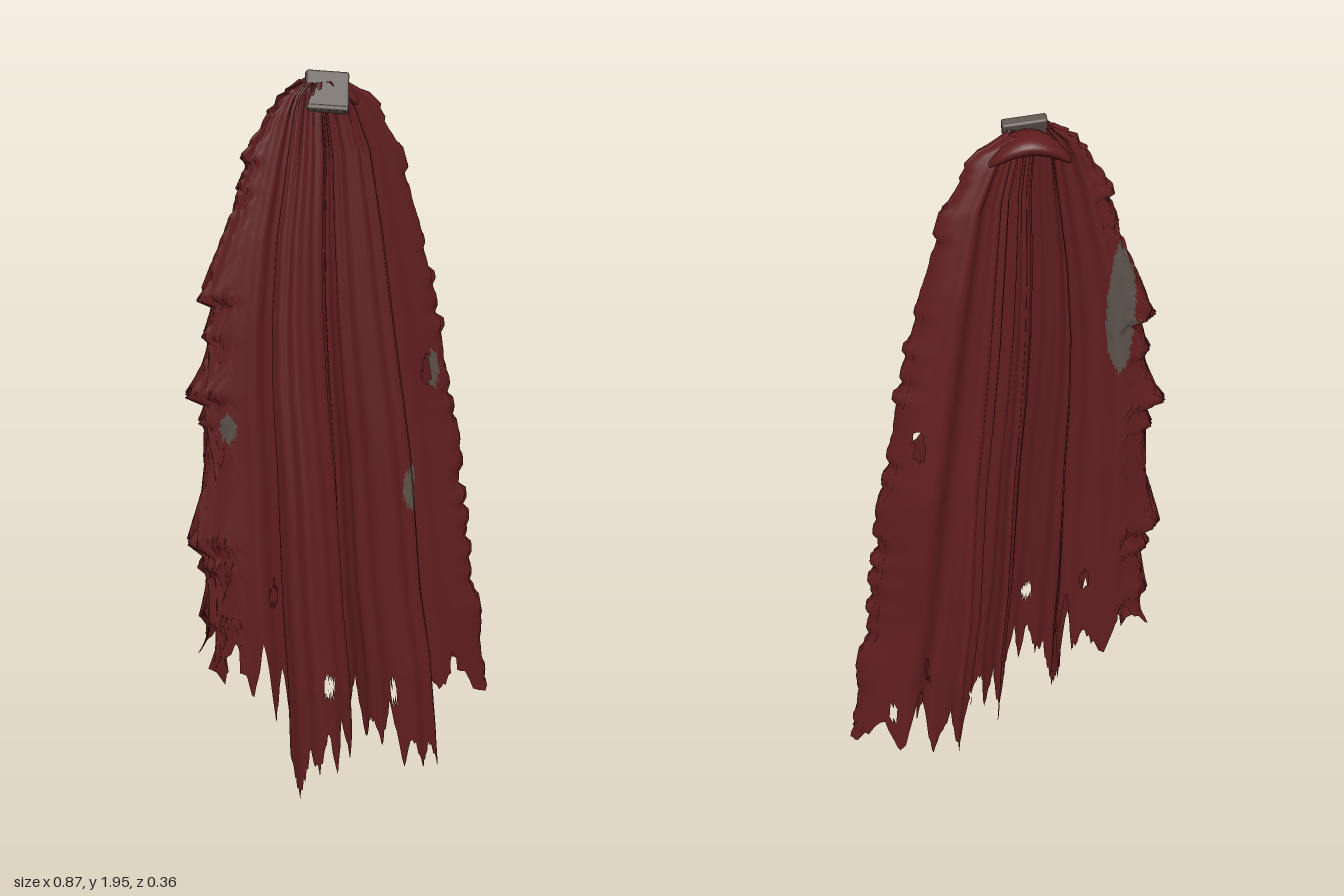
import * as THREE from 'three';
import { RoundedBoxGeometry } from 'three/addons/geometries/RoundedBoxGeometry.js';

const rand = (i) => { const s = Math.sin(i * 127.1 + 11.7) * 43758.5453; return s - Math.floor(s); };

// Piecewise linear lookup in [key, value] pairs with falling keys
function lookup(table, k) {
  if (k >= table[0][0]) return table[0][1];
  for (let i = 1; i < table.length; i++) {
    const [a, va] = table[i - 1], [b, vb] = table[i];
    if (k >= b) return va + (vb - va) * (a - k) / (a - b);
  }
  return table[table.length - 1][1];
}

// Outline of the cloth: height, x
const RIGHT_EDGE = [[1.97, -0.14], [1.94, -0.19], [1.9, -0.22], [1.8, -0.265], [1.6, -0.33], [1.4, -0.37], [1.2, -0.39], [0.8, -0.4], [0, -0.42]];
const LEFT_EDGE = [[1.97, -0.02], [1.94, 0.03], [1.9, 0.07], [1.8, 0.13], [1.6, 0.19], [1.4, 0.235], [1.2, 0.275], [1, 0.31], [0.6, 0.355], [0.4, 0.395], [0, 0.44]];
// Depth of the forward folds and of the backward wings by height
const FRONT_DEPTH = [[1.97, 0.12], [1.9, 0.16], [1.6, 0.32], [1.2, 0.52], [0.8, 0.76], [0.4, 1], [0, 1]];
const WING_DEPTH = [[1.97, 0.4], [1.9, 0.45], [1.6, 0.74], [1.05, 1.04], [0.6, 0.96], [0, 1]];
// Torn flaps down the right edge: height of the tip, reach
const FLAPS = [[1.97, 0], [1.79, 0.02], [1.72, 0.012], [1.45, 0.045], [1.35, 0.02], [1.2, 0.055], [1.13, 0.02], [0.79, 0.055], [0.72, 0.03], [0.56, 0.025], [0.43, 0.05], [0.1, 0.03]];

// Fold line seen from above: x, hem height, z
const FOLDS = [
  [-0.16, 0.5, -0.03], [-0.22, 0.45, -0.065], [-0.33, 0.52, -0.075], [-0.42, 0.5, -0.03],
  [-0.38, 0.5, 0.03], [-0.28, 0.42, 0.08], [-0.2, 0.3, 0.05], [-0.165, 0.3, 0],
  [-0.2, 0.14, 0.1], [-0.17, 0.14, 0.155], [-0.11, 0.22, 0.178], [-0.05, 0.28, 0.14],
  [-0.02, 0.32, 0.02], [0, 0.22, -0.06], [0.03, 0.14, 0], [0.06, 0.2, 0.06],
  [0.13, 0.16, 0.1], [0.2, 0.07, 0.075], [0.23, 0.18, 0.02], [0.21, 0.25, -0.03],
  [0.3, 0.28, -0.035], [0.43, 0.2, -0.095], [0.3, 0.25, -0.16], [0.2, 0.18, -0.125],
  [0.14, 0.16, -0.175], [0.1, 0.24, -0.13], [0.09, 0.3, -0.06],
];
// Holes right through: x, y, half width, half height
const HOLES = [[0.212, 1.2, 0.012, 0.045], [-0.23, 0.65, 0.012, 0.025], [-0.11, 0.42, 0.015, 0.03], [0.09, 0.33, 0.008, 0.03], [0.21, 0.42, 0.007, 0.04], [0.31, 0.3, 0.01, 0.025]];
// Bare patches: x, y, half width, half height, first and last fold
const PATCHES = [[-0.33, 1.12, 0.02, 0.036, 3, 6], [0.15, 0.91, 0.028, 0.058, 14, 20], [0.233, 1.2, 0.016, 0.05, 18, 21], [-0.295, 1.5, 0.038, 0.17, 0, 3]];
const inside = (x, y, [cx, cy, rx, ry]) => ((x - cx) / rx) ** 2 + ((y - cy) / ry) ** 2 < 1;

// Depth factor of a fold at side position s, growing from the gathered top down
function depthAt(z, s, y) {
  const front = lookup(FRONT_DEPTH, y);
  if (z > 0) return front;
  return THREE.MathUtils.lerp(front, lookup(WING_DEPTH, y), THREE.MathUtils.smoothstep(Math.abs(s), 0.3, 0.6));
}

function clothGeometry() {
  const cols = 400, rows = 120, last = FOLDS.length - 1;
  const curve = new THREE.CatmullRomCurve3(FOLDS.map((p) => new THREE.Vector3(...p)), false, 'centripetal');
  const pos = [];
  for (let i = 0; i <= cols; i++) {
    const t = i / cols, p = curve.getPoint(t), d = curve.getTangent(t);
    const len = Math.hypot(d.x, d.z) || 1;
    // Long and short rags of uneven width along the hem
    const k = t * 56 + 0.5 * Math.sin(t * 31), n = Math.floor(k), f = k - n;
    const tooth = (m) => (m % 2 ? 0.16 * rand(m) : -0.12 * rand(m));
    const jag = tooth(n) * (1 - f) + tooth(n + 1) * f + 0.03 * (rand(i + 500) - 0.5);
    const hem = Math.max(0, p.y + jag);
    const ripple = 0.004 * Math.sin(t * 105) + 0.003 * Math.sin(t * 191 + 1);
    const s = p.x / 0.42;
    for (let j = 0; j <= rows; j++) {
      const v = Math.pow(j / rows, 1.2);
      const y = 1.97 + (hem - 1.97) * v;
      const a = lookup(RIGHT_EDGE, y), b = lookup(LEFT_EDGE, y);
      let x = (a + b) / 2 + s * (b - a) / 2 - (d.z / len) * ripple;
      const z = p.z * depthAt(p.z, s, y) + (d.x / len) * ripple + 0.004 * Math.sin(y * 7 + t * 20) * v;
      // Torn flaps on the right edge, small nicks on the left one
      if (s < -0.7) {
        const q = FLAPS.findIndex((h) => h[0] < y), w = Math.min(1, (-s - 0.7) / 0.3);
        if (q > 0) {
          const g = (FLAPS[q - 1][0] - y) / (FLAPS[q - 1][0] - FLAPS[q][0]);
          x += w * (0.012 - FLAPS[q][1] * g * g + 0.014 * (rand(j) - 0.5));
        }
      } else if (s > 0.8) x += (s - 0.8) * 0.1 * (rand(Math.floor(y * 30) + 90) - 0.5);
      pos.push(x, y, z);
    }
  }
  // Cells are left out at holes and sorted into cloth and bare patches
  const cloth = [], bare = [];
  for (let i = 0; i < cols; i++) for (let j = 0; j < rows; j++) {
    const a = i * (rows + 1) + j, b = a + rows + 1;
    const x = (pos[3 * a] + pos[3 * b + 3]) / 2, y = (pos[3 * a + 1] + pos[3 * b + 4]) / 2;
    if (HOLES.some((h) => inside(x, y, h))) continue;
    const fold = i / cols * last;
    const patch = PATCHES.some((q) => fold >= q[4] && fold <= q[5] && inside(x, y, q));
    (patch ? bare : cloth).push(a, a + 1, b, b, a + 1, b + 1);
  }
  const geo = new THREE.BufferGeometry();
  geo.setAttribute('position', new THREE.Float32BufferAttribute(pos, 3));
  geo.setIndex([...cloth, ...bare]);
  geo.addGroup(0, cloth.length, 0);
  geo.addGroup(cloth.length, bare.length, 1);
  geo.computeVertexNormals();
  return geo;
}

export function createModel() {
  const red = new THREE.MeshStandardMaterial({ color: 0x601d1f, side: THREE.DoubleSide });
  red.name = 'dark red cloth';
  const grey = new THREE.MeshStandardMaterial({ color: 0x5a5049, side: THREE.DoubleSide });
  grey.name = 'dull grey';
  const group = new THREE.Group();
  group.name = 'tatteredCape';
  const add = (name, geo, mat) => {
    const mesh = new THREE.Mesh(geo, mat);
    mesh.name = name;
    group.add(mesh);
    return mesh;
  };

  add('foldedCloth', clothGeometry(), [red, grey]);

  // Gathered cloth bulging back behind the clasp, drooping to both sides
  const collarGeo = new THREE.SphereGeometry(1, 32, 16);
  collarGeo.scale(0.1, 0.026, 0.058);
  const cp = collarGeo.attributes.position;
  for (let i = 0; i < cp.count; i++) cp.setY(i, cp.getY(i) - 5 * cp.getX(i) ** 2);
  collarGeo.computeVertexNormals();
  const collar = add('gatheredCollar', collarGeo, red);
  collar.position.set(-0.065, 1.948, -0.042);
  collar.rotation.x = 0.15;

  // Clasp leaning back, with a raised rim at its lower edge
  const clasp = add('clasp', new RoundedBoxGeometry(0.104, 0.096, 0.026, 2, 0.006), grey);
  clasp.position.set(-0.066, 1.945, 0.008);
  clasp.rotation.set(-0.4, 0, -0.12);
  const rim = new THREE.Mesh(new RoundedBoxGeometry(0.1, 0.012, 0.01, 2, 0.004), grey);
  rim.name = 'claspRim';
  rim.position.set(0, -0.04, 0.012);
  clasp.add(rim);
  return group;
}
